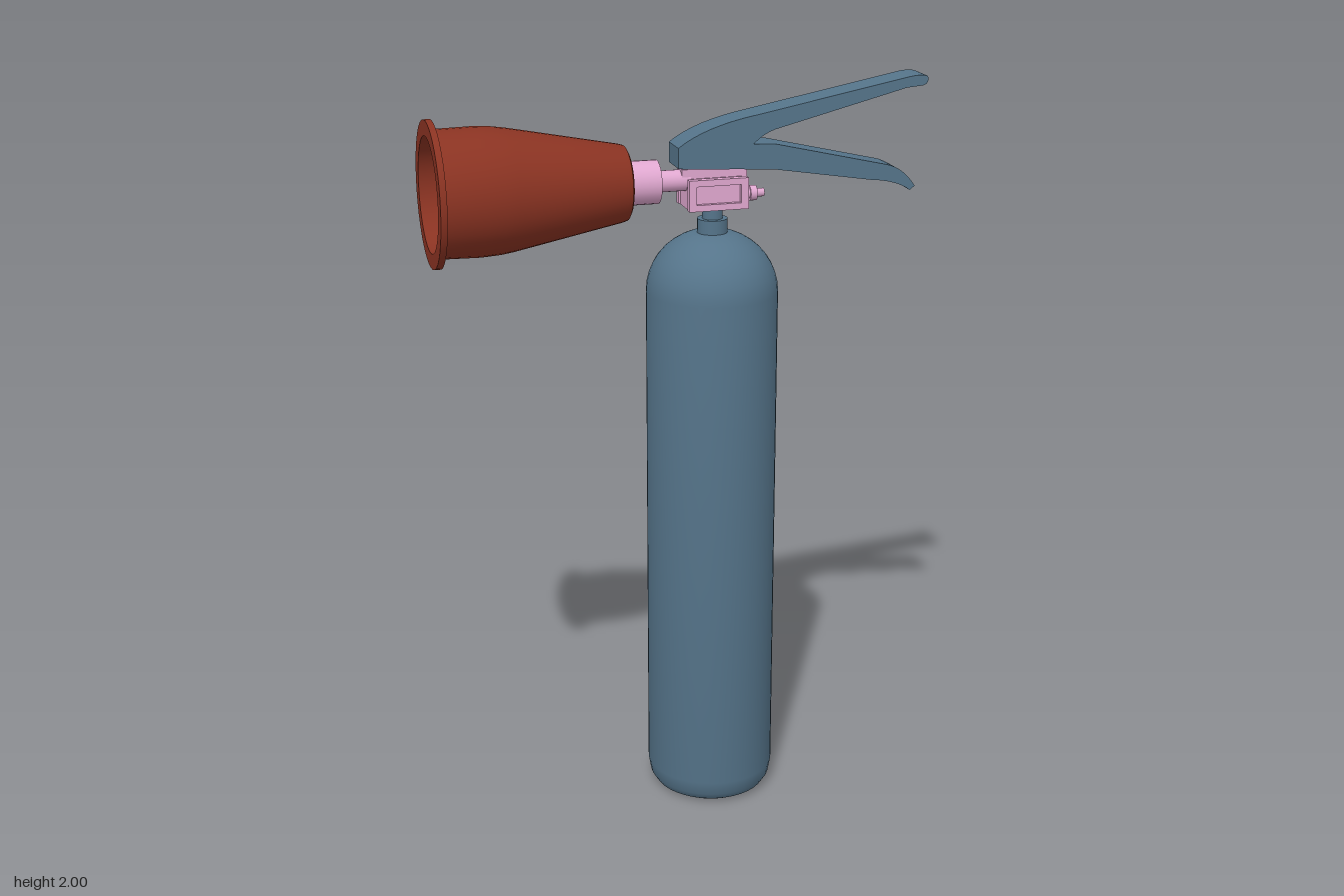
import * as THREE from 'three';
import { toCreasedNormals } from 'three/addons/utils/BufferGeometryUtils.js';

const blue = new THREE.MeshStandardMaterial({ color: 0x55748a });
const red = new THREE.MeshStandardMaterial({ color: 0x8a3322 });
const pink = new THREE.MeshStandardMaterial({ color: 0xe0a8d0 });

const TANK_X = 0.085;
const HORN_Y = 1.752;

export function createModel() {
  const model = new THREE.Group();
  model.name = 'fireExtinguisher';

  const add = (name, geometry, material, x = 0, y = 0, z = 0) => {
    const mesh = new THREE.Mesh(geometry, material);
    mesh.name = name;
    mesh.position.set(x, y, z);
    model.add(mesh);
    return mesh;
  };
  const lathe = (points, segments = 32) => toCreasedNormals(
    new THREE.LatheGeometry(points.map(([r, y]) => new THREE.Vector2(r, y)), segments), 0.6);
  // Cylinder lying along x
  const rod = (name, x0, x1, y, r, material = pink) => {
    const mesh = add(name, new THREE.CylinderGeometry(r, r, x1 - x0, 24), material, (x0 + x1) / 2, y);
    mesh.rotation.z = Math.PI / 2;
    return mesh;
  };
  const extrude = (shape, depth) => new THREE.ExtrudeGeometry(shape, { depth, bevelEnabled: false, curveSegments: 8 });

  // Tank with rounded base and domed shoulder
  const tankProfile = [[0, 0.005], [0.125, 0.005], [0.14, 0], [0.16, 0.012], [0.173, 0.032], [0.18, 0.07], [0.18, 1.45]];
  for (let i = 1; i <= 8; i++) {
    const a = (i / 8) * 1.22;
    tankProfile.push([0.18 * Math.cos(a), 1.45 + 0.165 * Math.sin(a)]);
  }
  tankProfile.push([0, 1.612]);
  add('tank', lathe(tankProfile, 40), blue, TANK_X).scale.x = 0.97;

  // Neck
  add('neckCollar', new THREE.CylinderGeometry(0.04, 0.04, 0.05, 24), blue, TANK_X, 1.62);
  add('neck', new THREE.CylinderGeometry(0.027, 0.027, 0.06, 24), blue, TANK_X, 1.665);

  // Valve block with a raised frame on each side
  add('valveBlock', new THREE.BoxGeometry(0.15, 0.08, 0.1), pink, TANK_X, 1.717);
  const frame = new THREE.Shape([[-0.08, -0.041], [0.08, -0.041], [0.08, 0.041], [-0.08, 0.041]]
    .map(([x, y]) => new THREE.Vector2(x, y)));
  frame.holes.push(new THREE.Path([[-0.06, -0.024], [-0.06, 0.024], [0.06, 0.024], [0.06, -0.024]]
    .map(([x, y]) => new THREE.Vector2(x, y))));
  for (const [name, z] of [['valveFrameFront', 0.042], ['valveFrameBack', -0.062]]) {
    add(name, extrude(frame, 0.02), pink, TANK_X, 1.719, z);
  }
  add('valveTop', new THREE.BoxGeometry(0.175, 0.028, 0.05), pink, 0.083, 1.768);

  // Outlet stub on the left of the valve
  rod('outletStub', 0.15, 0.205, 1.705, 0.014);
  rod('outletCap', 0.2, 0.225, 1.705, 0.011);
  rod('outletCollar', 0.185, 0.203, 1.705, 0.02);

  // Coupling between valve and horn
  rod('hornPipe', -0.08, 0.02, 1.75, 0.028);
  rod('hornCoupling', -0.16, -0.065, 1.75, 0.057);

  // Hollow discharge horn, opening towards -x
  const horn = add('horn', lathe([
    [0, 0.147], [0.088, 0.147], [0.097, 0.152], [0.101, 0.165], [0.13, 0.315], [0.157, 0.455],
    [0.162, 0.49], [0.165, 0.54], [0.163, 0.643], [0.188, 0.643], [0.188, 0.66], [0.148, 0.66],
    [0.148, 0.54], [0.143, 0.47], [0.085, 0.18], [0, 0.18],
  ], 40), red, 0, HORN_Y);
  horn.rotation.z = Math.PI / 2;

  // Levers cut from one thick side profile each
  const carry = new THREE.Shape();
  carry.moveTo(-0.02, 1.79);
  carry.lineTo(-0.02, 1.843);
  carry.quadraticCurveTo(0.05, 1.895, 0.19, 1.918);
  carry.lineTo(0.6, 1.995);
  carry.quadraticCurveTo(0.64, 2.003, 0.658, 1.996);
  carry.quadraticCurveTo(0.664, 1.976, 0.645, 1.972);
  carry.lineTo(0.6, 1.968);
  carry.lineTo(0.24, 1.878);
  carry.quadraticCurveTo(0.18, 1.86, 0.14, 1.785);
  carry.closePath();
  add('upperLever', toCreasedNormals(extrude(carry, 0.09), 0.6), blue, 0, 0, -0.045);

  const squeeze = new THREE.Shape();
  squeeze.moveTo(-0.01, 1.787);
  squeeze.lineTo(0.12, 1.845);
  squeeze.lineTo(0.24, 1.84);
  squeeze.lineTo(0.55, 1.768);
  squeeze.quadraticCurveTo(0.6, 1.757, 0.633, 1.706);
  squeeze.lineTo(0.62, 1.695);
  squeeze.quadraticCurveTo(0.58, 1.724, 0.51, 1.729);
  squeeze.lineTo(0.24, 1.773);
  squeeze.lineTo(0.13, 1.78);
  squeeze.closePath();
  add('lowerLever', toCreasedNormals(extrude(squeeze, 0.086), 0.6), blue, 0, 0, -0.043);

  return model;
}
